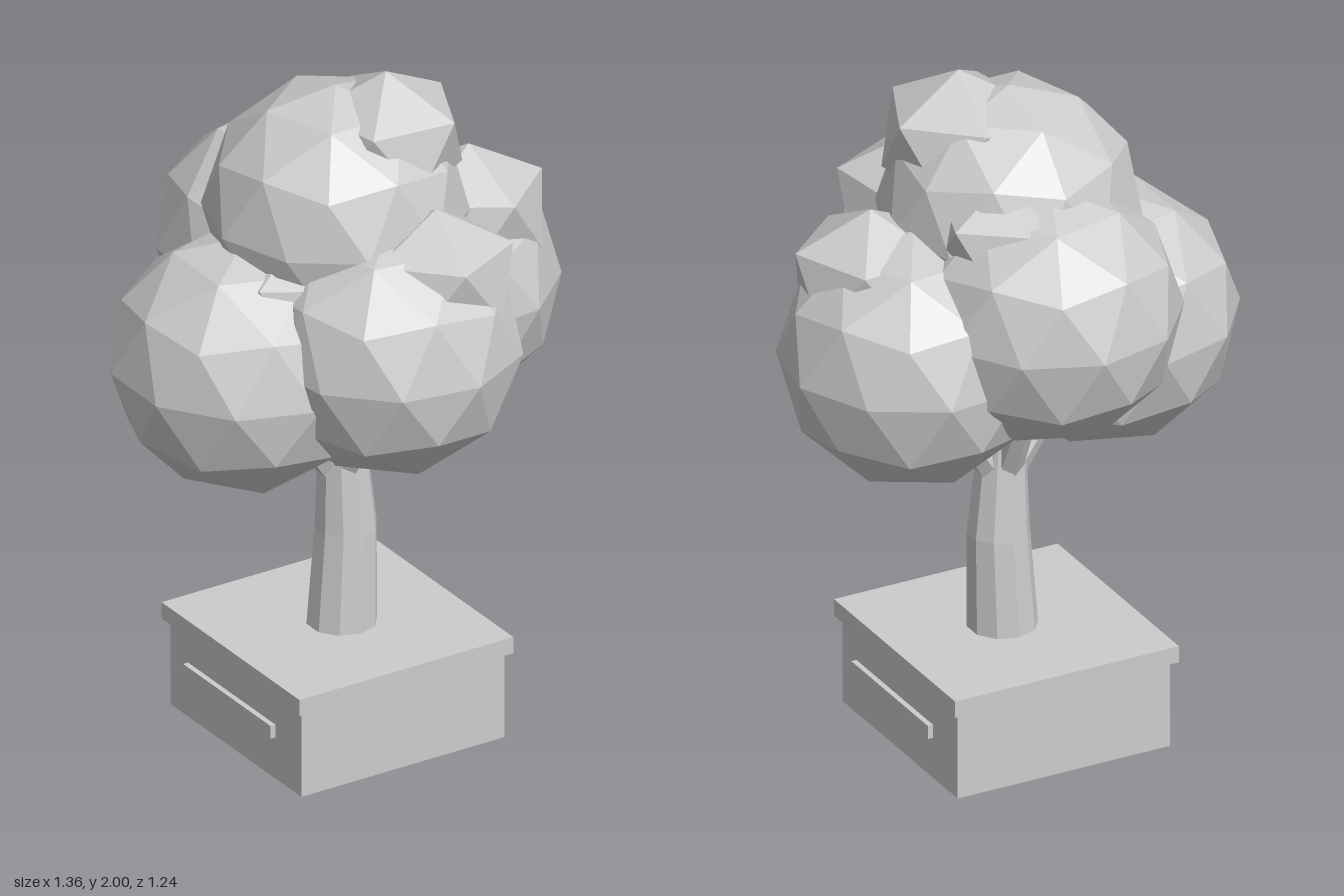
import * as THREE from 'three';

const grey = new THREE.MeshStandardMaterial({ color: 0xcccccc });
grey.name = 'paleGrey';
// same paint, shaded per facet
grey.flatShading = true;

const rad = THREE.MathUtils.degToRad;

export function createModel() {
  const model = new THREE.Group();
  model.name = 'pottedTree';

  const add = (name, geometry, x = 0, y = 0, z = 0) => {
    const mesh = new THREE.Mesh(geometry, grey);
    mesh.name = name;
    mesh.position.set(x, y, z);
    model.add(mesh);
    return mesh;
  };

  // Faceted ball standing on one corner, turned so its upper ring starts at angle phi
  const ball = (rx, ry, detail, phi) =>
    new THREE.IcosahedronGeometry(1, detail)
      .rotateZ(Math.atan(2 / (1 + Math.sqrt(5))))
      .rotateY(rad(36 - phi))
      .scale(rx, ry, rx);

  // Planter box with lid and two side rails
  add('planterBox', new THREE.BoxGeometry(0.66, 0.26, 0.66), -0.01, 0.13, -0.005);
  add('planterLid', new THREE.BoxGeometry(0.695, 0.05, 0.695), -0.01, 0.285, -0.005);
  for (const [name, x] of [['rightRail', -0.363], ['leftRail', 0.344]]) {
    add(name, new THREE.BoxGeometry(0.016, 0.04, 0.44), x, 0.16, -0.003);
  }

  // Trunk: tapered, slightly bowed ten-sided column
  const rings = [[0.3, 0, 0.1], [0.6, 0.013, 0.088], [0.92, 0, 0.064], [1.25, 0, 0.055]];
  const trunk = new THREE.CylinderGeometry(1, 1, 3, 10, 3);
  const p = trunk.attributes.position;
  for (let i = 0; i < p.count; i++) {
    const [y, x, r] = rings[Math.round(p.getY(i) + 1.5)];
    p.setXYZ(i, x + p.getX(i) * r, y, p.getZ(i) * r);
  }
  trunk.computeVertexNormals();
  add('trunk', trunk);

  // Branches fanning out from the trunk into the crown
  const up = new THREE.Vector3(0, 1, 0);
  const branches = [[-0.24, 1.08, 0], [0.24, 1.1, -0.04], [0, 1.12, 0.2], [0, 1.15, -0.2]];
  for (const [x, y, z] of branches) {
    const start = new THREE.Vector3(x * 0.08, 0.77, z * 0.08);
    const dir = new THREE.Vector3(x, y, z).sub(start);
    const branch = add('branch', new THREE.CylinderGeometry(0.032, 0.042, dir.length(), 6));
    branch.position.copy(start).addScaledVector(dir, 0.5);
    branch.quaternion.setFromUnitVectors(up, dir.normalize());
  }

  // Large foliage lobes: name, x, y, z, radius, turn
  const lobes = [
    ['rightFoliage', -0.31, 1.2, 0, 0.382, 1],
    ['leftFoliage', 0.315, 1.25, -0.07, 0.375, 12],
    ['frontFoliage', -0.005, 1.275, 0.25, 0.374, -9],
    ['backFoliage', -0.01, 1.385, -0.25, 0.372, 4],
    ['topFoliage', -0.02, 1.587, 0, 0.368, -18],
  ];
  for (const [name, x, y, z, r, phi] of lobes) add(name, ball(r, 0.372, 1, phi), x, y, z);

  // Small leaf tufts poking through the lobes: x, y, z, turn
  const tufts = [
    [0.096, 1.8, 0.075, -12],
    [0.4, 1.47, 0.02, 14],
    [0.092, 1.49, 0.335, 28],
    [0.08, 1.6, -0.19, -17],
    [-0.19, 1.41, 0.1, 13],
  ];
  for (const [x, y, z, phi] of tufts) add('leafTuft', ball(0.236, 0.2, 0, phi), x, y, z);

  return model;
}
